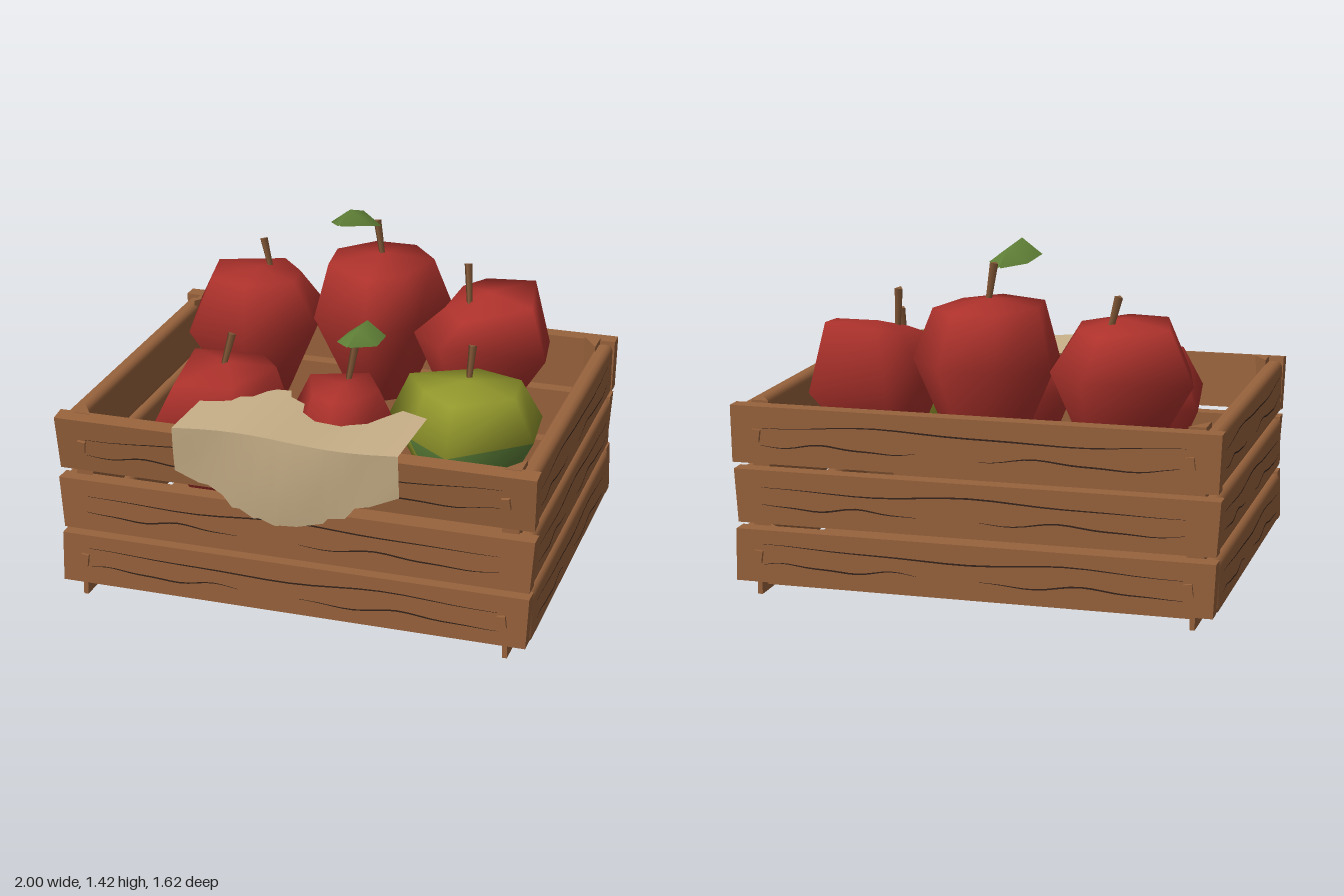
import * as THREE from 'three';
import { RoundedBoxGeometry } from 'three/addons/geometries/RoundedBoxGeometry.js';

const mat = (name, color, side = THREE.FrontSide) => {
  const m = new THREE.MeshStandardMaterial({ color, side });
  m.name = name;
  return m;
};
const wood = mat('wood', 0x97623c);
const grain = mat('dark grain', 0x35241a, THREE.DoubleSide);
const red = mat('apple red', 0xae322c);
const yellow = mat('apple yellow green', 0x92972c);
const green = mat('unripe green', 0x5c7f38);
const leafGreen = mat('leaf green', 0x5f7f36, THREE.DoubleSide);
const stemBrown = mat('stem brown', 0x865a38);
const linen = mat('linen', 0xc8b088, THREE.DoubleSide);

function add(parent, name, geo, material, x = 0, y = 0, z = 0) {
  const m = new THREE.Mesh(geo, material);
  m.name = name;
  m.position.set(x, y, z);
  parent.add(m);
  return m;
}

function surface(pos, idx) {
  const g = new THREE.BufferGeometry();
  g.setAttribute('position', new THREE.Float32BufferAttribute(pos, 3));
  g.setIndex(idx);
  g.computeVertexNormals();
  return g;
}

// Grid of points (rows x cols) to a surface
function sheet(rows) {
  const n = rows[0].length, idx = [];
  for (let r = 0; r < rows.length - 1; r++)
    for (let c = 0; c < n - 1; c++) {
      const a = r * n + c, b = a + n;
      idx.push(a, b, a + 1, a + 1, b, b + 1);
    }
  return surface(rows.flat(2), idx);
}

// Thin wavy grain line tapering at both ends
function grainLine(x0, x1, y, amp, phase) {
  const top = [], bottom = [], n = 18;
  for (let i = 0; i <= n; i++) {
    const t = i / n, x = x0 + (x1 - x0) * t;
    const yy = y + amp * Math.sin(phase + t * 9) + amp * 0.4 * Math.sin(phase * 2 + t * 17);
    const w = 0.0034 * Math.sin(Math.PI * (0.06 + 0.88 * t));
    top.push([x, yy + w, 0]);
    bottom.push([x, yy - w, 0]);
  }
  return sheet([top, bottom]);
}

// Slat with slanted ends, hanging down from y = 0: bottom-left, bottom-right, top-right, top-left x
function endSlat([bl, br, tr, tl], h) {
  const s = new THREE.Shape([[bl, -h], [br, -h], [tr, 0], [tl, 0]].map(p => new THREE.Vector2(...p)));
  return new THREE.ExtrudeGeometry(s, { depth: 0.07, bevelEnabled: false });
}

const levels = [[0.06, 0.277], [0.305, 0.525], [0.552, 0.785]];
const ends = [[-0.98, 0.975, 0.985, -0.975], [-0.965, 0.985, 1, -0.98], [-0.985, 0.99, 1, -0.99]];

// One wall of three slats facing +z, turned into place; topTilt leans the top slat outwards
function wall(name, turn, dist, half, isEnd, topTilt = 0) {
  const g = new THREE.Group();
  g.name = name;
  levels.forEach(([y0, y1], i) => {
    const h = y1 - y0, L = half * 0.88, board = new THREE.Group();
    board.name = 'board';
    board.position.set(0, isEnd ? y1 : y1 - 0.008, dist);
    board.rotation.x = i === 2 ? topTilt : 0;
    g.add(board);
    if (isEnd) add(board, 'slat', endSlat(ends[i], h), wood, 0, 0, -0.07);
    else add(board, 'slat', new RoundedBoxGeometry(half * 2, h, 0.075, 3, 0.03), wood, 0, -h / 2, -0.0375);
    add(board, 'grain', grainLine(-L, L, -h * 0.32, 0.01, i * 2 + 1), grain, 0, 0, 0.002);
    add(board, 'grain', grainLine(-L, -L * 0.25, -h * 0.66, 0.009, i * 2), grain, 0, 0, 0.002);
    add(board, 'grain', grainLine(L * 0.05, L, -h * 0.67, 0.01, i + 3), grain, 0, 0, 0.002);
    if (isEnd && i !== 1)
      for (const s of [-1, 1])
        add(board, 'peg', new THREE.BoxGeometry(0.034, 0.05, 0.014), wood, s * 0.88, -h / 2, 0.008).rotation.z = s * 0.12;
  });
  g.rotation.y = turn;
  return g;
}

// Apple lofted from its plan outline; lean tips it along x and z, crown sizes its top ring
function appleGeometry({ plan, y: [y0, y1], lean: [lx, lz], crown = 0.72 }) {
  const n = plan.length;
  const cx = plan.reduce((s, p) => s + p[0], 0) / n, cz = plan.reduce((s, p) => s + p[1], 0) / n;
  // height, size, tip factor, shift factor
  const rings = [[0, 0.45, 0, 0], [0.6, 1, -1.3, 0], [0.95, crown, 1, 0.3]];
  const pos = [], idx = [];
  for (const [t, k, tip, shift] of rings)
    for (const [x, z] of plan) {
      const dx = (x - cx) * k, dz = (z - cz) * k;
      pos.push(cx + dx + lx * shift, y0 + (y1 - y0) * t + (lx * dx + lz * dz) * tip, cz + dz + lz * shift);
    }
  const last = (rings.length - 1) * n, b = rings.length * n;
  pos.push(cx, y0 + 0.02, cz, cx + lx * 0.3, y1, cz + lz * 0.3);
  for (let i = 0; i < n; i++) idx.push(b, i, (i + 1) % n);
  for (let r = 0; r < rings.length - 1; r++)
    for (let i = 0; i < n; i++) {
      const a = r * n + i, c = r * n + (i + 1) % n;
      idx.push(a, a + n, c, c, a + n, c + n);
    }
  for (let i = 0; i < n; i++) idx.push(last + i, b + 1, last + (i + 1) % n);
  return surface(pos, idx);
}

// Stem between two points, widening upwards
function stemGeometry(a, b) {
  const p = new THREE.Vector3(...a), d = new THREE.Vector3(...b).sub(p);
  const g = new THREE.CylinderGeometry(0.02, 0.013, d.length(), 3);
  g.translate(0, d.length() / 2, 0);
  g.applyQuaternion(new THREE.Quaternion().setFromUnitVectors(new THREE.Vector3(0, 1, 0), d.normalize()));
  return g.translate(p.x, p.y, p.z);
}

// Arched leaf folded along its midrib; heights run from stem end to tip
function leafGeometry(x, y, z, slant, heights) {
  const spine = [[-0.11, 0.006], [-0.05, 0.08], [0.04, 0.085], [0.11, 0.006]];
  return sheet(spine.map(([l, w], i) => [-1, 0, 1].map(s =>
    [x + s * w + slant * l, y + heights[i] - Math.abs(s) * w * 0.75, z + l])));
}

// Plan outlines run clockwise as seen from above
const apples = [
  { plan: [[-0.82, -0.45], [-0.42, -0.67], [-0.24, -0.46], [-0.2, -0.2], [-0.46, 0.02], [-0.73, -0.06]], y: [0.57, 1.12], lean: [-0.04, 0.04], crown: 0.64, stem: [[-0.46, 1.07, -0.36], [-0.5, 1.22, -0.37]] },
  { plan: [[-0.25, -0.48], [-0.08, -0.69], [0.15, -0.71], [0.31, -0.52], [0.24, -0.2], [0.06, -0.05], [-0.22, -0.22]], y: [0.57, 1.2], lean: [-0.03, 0], crown: 0.76, stem: [[0.03, 1.15, -0.41], [0, 1.34, -0.41]] },
  { plan: [[0.27, -0.5], [0.4, -0.61], [0.73, -0.59], [0.8, -0.2], [0.4, 0.01], [0.23, -0.2]], y: [0.58, 1.08], lean: [0.09, -0.14], crown: 0.66, stem: [[0.44, 1.03, -0.31], [0.42, 1.21, -0.35]] },
  { plan: [[-0.75, 0], [-0.33, 0.0], [-0.18, 0.18], [-0.32, 0.54], [-0.66, 0.57]], y: [0.34, 0.895], lean: [0.04, 0], stem: [[-0.46, 0.85, 0.27], [-0.42, 1.02, 0.25]] },
  { plan: [[-0.18, 0.15], [0.16, 0.01], [0.31, 0.28], [0.22, 0.52], [0.09, 0.56], [-0.05, 0.5]], y: [0.38, 0.9], lean: [0, 0.03], crown: 0.66, stem: [[0.08, 0.85, 0.26], [0.11, 1.03, 0.25]] },
  { plan: [[0.22, 0.12], [0.57, -0.08], [0.84, 0], [0.87, 0.28], [0.57, 0.52], [0.37, 0.35]], y: [0.39, 0.915], lean: [-0.02, 0], stem: [[0.56, 0.87, 0.15], [0.57, 1.04, 0.13]], ripening: true },
];

export function createModel() {
  const model = new THREE.Group();
  model.name = 'appleCrate';

  // Crate
  const crate = new THREE.Group();
  crate.name = 'crate';
  model.add(crate);
  crate.add(wall('frontWall', 0, 0.775, 0.98, true, 0.14), wall('backWall', Math.PI, 0.79, 0.98, true));
  crate.add(wall('leftWall', Math.PI / 2, 0.985, 0.725, false), wall('rightWall', -Math.PI / 2, 0.985, 0.725, false));
  // floor with a shallow skirt below it
  add(crate, 'floor', new THREE.BoxGeometry(1.77, 0.015, 1.37), wood, 0, 0.065, -0.012);
  for (const s of [-1, 1]) {
    add(crate, 'skirt', new THREE.BoxGeometry(1.77, 0.04, 0.015), wood, 0, 0.043, -0.012 + s * 0.677);
    add(crate, 'skirt', new THREE.BoxGeometry(0.015, 0.04, 1.34), wood, s * 0.877, 0.043, -0.012);
  }
  for (const sx of [-1, 1])
    for (const sz of [-1, 1]) {
      // triangular corner post, broader behind the bottom slats
      const post = (w, d, h) => {
        const tri = new THREE.Shape([[0.925, 0.72], [w, 0.72], [0.925, d]].map(([x, z]) => new THREE.Vector2(sx * x, -sz * z)));
        return new THREE.ExtrudeGeometry(tri, { depth: h, bevelEnabled: false }).rotateX(-Math.PI / 2);
      };
      add(crate, 'cornerPost', post(0.855, 0.615, 0.745), wood, 0, 0.05, 0);
      add(crate, 'cornerGusset', post(0.8, 0.59, 0.2), wood, 0, 0.06, 0);
      add(crate, 'foot', new THREE.BoxGeometry(0.02, 0.06, 0.175), wood, sx * 0.89, 0.03, sz * 0.675);
    }

  // Apples
  for (const a of apples) {
    const g = new THREE.Group();
    g.name = a.ripening ? 'yellowApple' : 'redApple';
    const flesh = appleGeometry(a);
    if (a.ripening) {
      // three lower faces on the outer side stay green
      flesh.addGroup(0, 30, 0);
      flesh.addGroup(30, 18, 1);
      flesh.addGroup(48, flesh.index.count - 48, 0);
    }
    add(g, 'flesh', flesh, a.ripening ? [yellow, green] : red);
    add(g, 'stem', stemGeometry(...a.stem), stemBrown);
    model.add(g);
  }
  add(model, 'leaf', leafGeometry(-0.06, 1.425, -0.31, -0.35, [-0.1, -0.03, 0, -0.05]), leafGreen);
  add(model, 'leaf', leafGeometry(0.115, 1.095, 0.17, -0.2, [-0.06, 0, -0.01, -0.06]), leafGreen);

  // Ragged cloth over the front rim: x, inner edge z, hanging edge y
  const cloth = [[-0.47, 0.49, 0.63], [-0.37, 0.49, 0.59], [-0.33, 0.43, 0.585], [-0.27, 0.42, 0.55], [-0.23, 0.35, 0.5],
    [-0.2, 0.32, 0.5], [-0.14, 0.31, 0.465], [-0.12, 0.37, 0.47], [-0.05, 0.41, 0.445], [-0.03, 0.49, 0.45], [0.04, 0.55, 0.455],
    [0.15, 0.55, 0.485], [0.17, 0.53, 0.51], [0.24, 0.49, 0.52], [0.28, 0.42, 0.57], [0.34, 0.33, 0.585], [0.46, 0.4, 0.64]];
  const rim = x => 0.825 - 0.012 * Math.sin(x * 7);
  const edge = cloth.map(([x]) => [x, rim(x), 0.805]);
  add(model, 'clothTop', sheet([cloth.map(([x, z]) => [x, rim(x) - 0.01, z]), edge]), linen);
  add(model, 'clothFlap', sheet([edge,
    cloth.map(([x, , y]) => [x, (rim(x) + y) / 2, 0.802 + 0.01 * Math.cos(x * 9)]),
    cloth.map(([x, , y]) => [x, y, 0.783])]), linen);
  return model;
}
